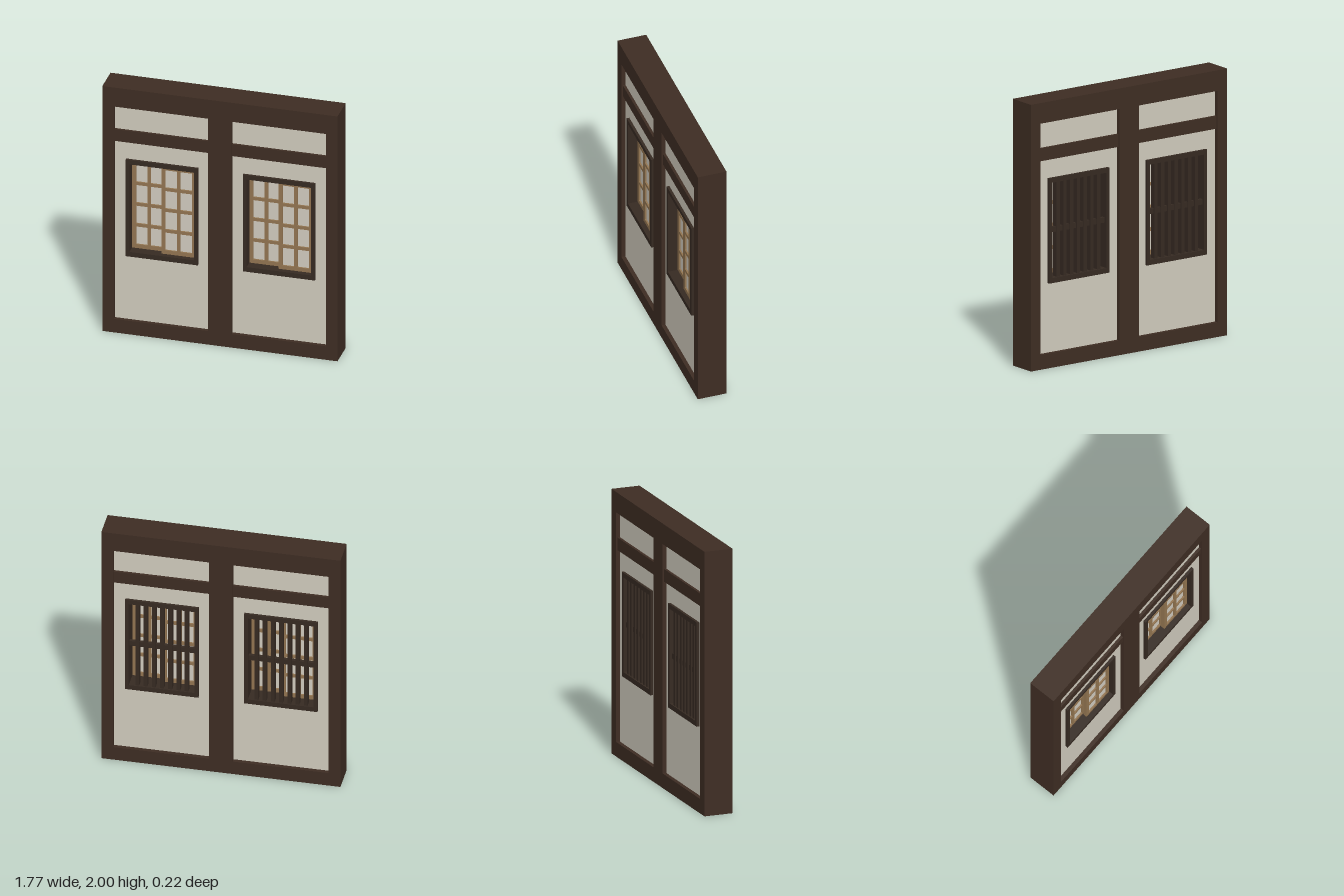
import * as THREE from 'three';

const mat = (name, color) => new THREE.MeshStandardMaterial({ name, color });

export function createModel() {
  const darkWood = mat('darkWood', 0x3e2d23);
  const casingWood = mat('casingWood', 0x362a22);
  const plaster = mat('plaster', 0xd0cbbd);
  const sashWood = mat('sashWood', 0x937551);
  const paper = mat('paper', 0xd2ccbf);

  const model = new THREE.Group();
  model.name = 'timberWall';

  // Box given by its x, y and z extents
  function box(parent, name, material, x0, x1, y0, y1, z0, z1) {
    const mesh = new THREE.Mesh(new THREE.BoxGeometry(x1 - x0, y1 - y0, z1 - z0), material);
    mesh.position.set((x0 + x1) / 2, (y0 + y1) / 2, (z0 + z1) / 2);
    mesh.name = name;
    parent.add(mesh);
  }

  // Rectangular slab with rectangular holes, centred on z = 0
  function slab(parent, name, material, [x0, x1, y0, y1], holes, depth) {
    const trace = (p, a, b, c, d) => p.moveTo(a, c).lineTo(b, c).lineTo(b, d).lineTo(a, d).closePath();
    const shape = trace(new THREE.Shape(), x0, x1, y0, y1);
    for (const h of holes) shape.holes.push(trace(new THREE.Path(), ...h));
    const geometry = new THREE.ExtrudeGeometry(shape, { depth, bevelEnabled: false });
    geometry.translate(0, 0, -depth / 2);
    const mesh = new THREE.Mesh(geometry, material);
    mesh.name = name;
    parent.add(mesh);
  }

  // Outer timber frame with its two bays
  slab(model, 'timberFrame', darkWood, [-0.887, 0.887, 0, 2],
    [[-0.8, -0.088, 0.11, 1.845], [0.088, 0.8, 0.11, 1.845]], 0.22);

  // Window extents relative to its own centre line
  const W = 0.244, Y0 = 0.668, Y1 = 1.383;

  // Sliding sash: lattice of two by four paper panes
  function sash(parent, name, x0, x1, z) {
    const g = new THREE.Group();
    g.name = name;
    const stile = 0.028, bar = 0.025, rail = 0.031, half = 0.015;
    const holes = [];
    const pw = (x1 - x0 - 2 * stile - bar) / 2;
    const ph = (Y1 - Y0 - 2 * rail - 3 * bar) / 4;
    for (let i = 0; i < 2; i++) {
      for (let j = 0; j < 4; j++) {
        const px = x0 + stile + i * (pw + bar), py = Y0 + rail + j * (ph + bar);
        holes.push([px, px + pw, py, py + ph]);
      }
    }
    slab(g, 'sashLattice', sashWood, [x0, x1, Y0, Y1], holes, half * 2);
    box(g, 'paperPane', paper, x0 + 0.01, x1 - 0.01, Y0 + 0.01, Y1 - 0.01, -0.003, 0.003);
    g.position.z = z;
    parent.add(g);
  }

  function windowUnit(name, x) {
    const g = new THREE.Group();
    g.name = name;
    slab(g, 'casing', casingWood, [-0.272, 0.272, 0.63, 1.418], [[-W, W, Y0, Y1]], 0.2);
    sash(g, 'rearSash', -W, 0.012, 0.01);
    sash(g, 'frontSash', -0.012, W, 0.046);
    // Upright bars and cross rail on the back
    for (let i = 1; i <= 7; i++) {
      const bx = -W + (i * 2 * W) / 8;
      box(g, 'backBar', casingWood, bx - 0.014, bx + 0.014, Y0, Y1, -0.09, -0.045);
    }
    box(g, 'backCrossRail', casingWood, -W, W, 1.005, 1.045, -0.08, -0.055);
    g.position.x = x;
    model.add(g);
  }

  // Each bay: plaster, tie rail and window
  for (const [side, s] of [['left', 1], ['right', -1]]) {
    const c = s * 0.444, h = 0.356;
    slab(model, side + 'PlasterPanel', plaster, [c - h, c + h, 0.11, 1.56],
      [[c - 0.26, c + 0.26, 0.645, 1.405]], 0.16);
    box(model, side + 'UpperPlaster', plaster, c - h, c + h, 1.655, 1.845, -0.08, 0.08);
    box(model, side + 'TieRail', darkWood, c - h, c + h, 1.56, 1.655, -0.1, 0.1);
    windowUnit(side + 'Window', s * 0.442);
  }
  return model;
}
